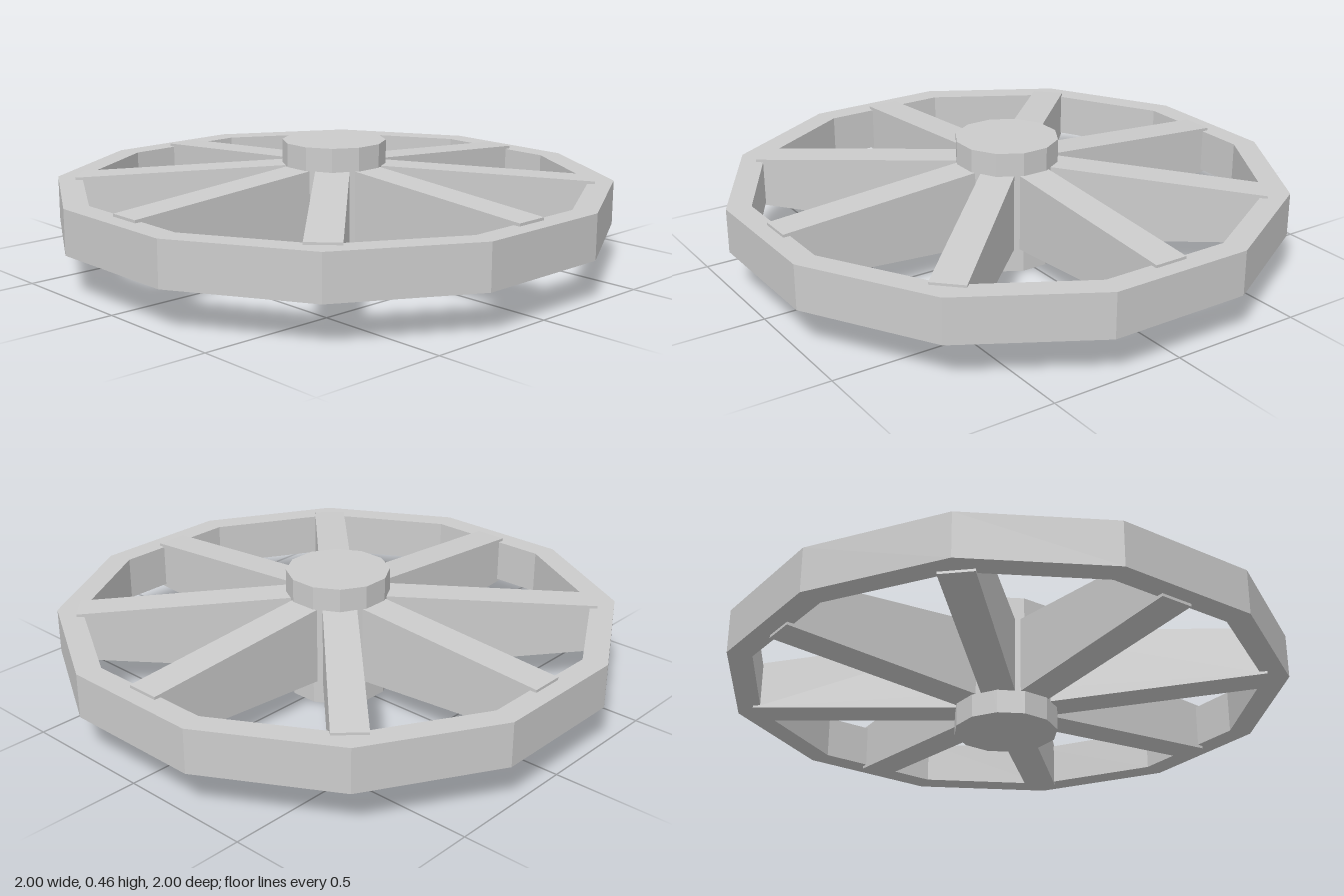
import * as THREE from 'three';

const SIDES = 12;
const MID_Y = 0.231;

// Corner points of the twelve-sided outline with a flat side on each axis
function polygonPoints(apothem) {
  const radius = apothem / Math.cos(Math.PI / SIDES);
  return Array.from({ length: SIDES }, (_, i) => {
    const a = ((i + 0.5) * 2 * Math.PI) / SIDES;
    return new THREE.Vector2(radius * Math.cos(a), radius * Math.sin(a));
  });
}

// Upright prism centred on the wheel's middle plane
function prism(apothem, height, holeApothem) {
  const shape = new THREE.Shape(polygonPoints(apothem));
  if (holeApothem) shape.holes.push(new THREE.Path(polygonPoints(holeApothem)));
  const geometry = new THREE.ExtrudeGeometry(shape, { depth: height, bevelEnabled: false });
  return geometry.translate(0, 0, -height / 2).rotateX(-Math.PI / 2);
}

// Bar running through the hub, tallest in the middle and tapering to both ends
function spokePair(reach) {
  const width = 0.124, middle = 0.1565;
  const end = middle - 0.0686 * reach;
  const shape = new THREE.Shape([
    new THREE.Vector2(-reach, -end),
    new THREE.Vector2(0, -middle),
    new THREE.Vector2(reach, -end),
    new THREE.Vector2(reach, end),
    new THREE.Vector2(0, middle),
    new THREE.Vector2(-reach, end),
  ]);
  const geometry = new THREE.ExtrudeGeometry(shape, { depth: width, bevelEnabled: false });
  return geometry.translate(0, 0, -width / 2);
}

export function createModel() {
  const wheel = new THREE.Group();
  wheel.name = 'wheel';
  const material = new THREE.MeshStandardMaterial({ color: 0xcccccc, flatShading: true });

  const add = (name, geometry) => {
    const mesh = new THREE.Mesh(geometry, material);
    mesh.name = name;
    mesh.position.y = MID_Y;
    wheel.add(mesh);
    return mesh;
  };

  add('rim', prism(1, 0.164, 0.913));
  add('hub', prism(0.185, 2 * MID_Y));

  // Four bars make eight spokes; the diagonal ones reach a little further
  for (let i = 0; i < 4; i++) {
    const bar = add('spokePair', spokePair(i % 2 ? 0.957 : 0.938));
    bar.rotation.y = (i * Math.PI) / 4;
  }

  return wheel;
}
